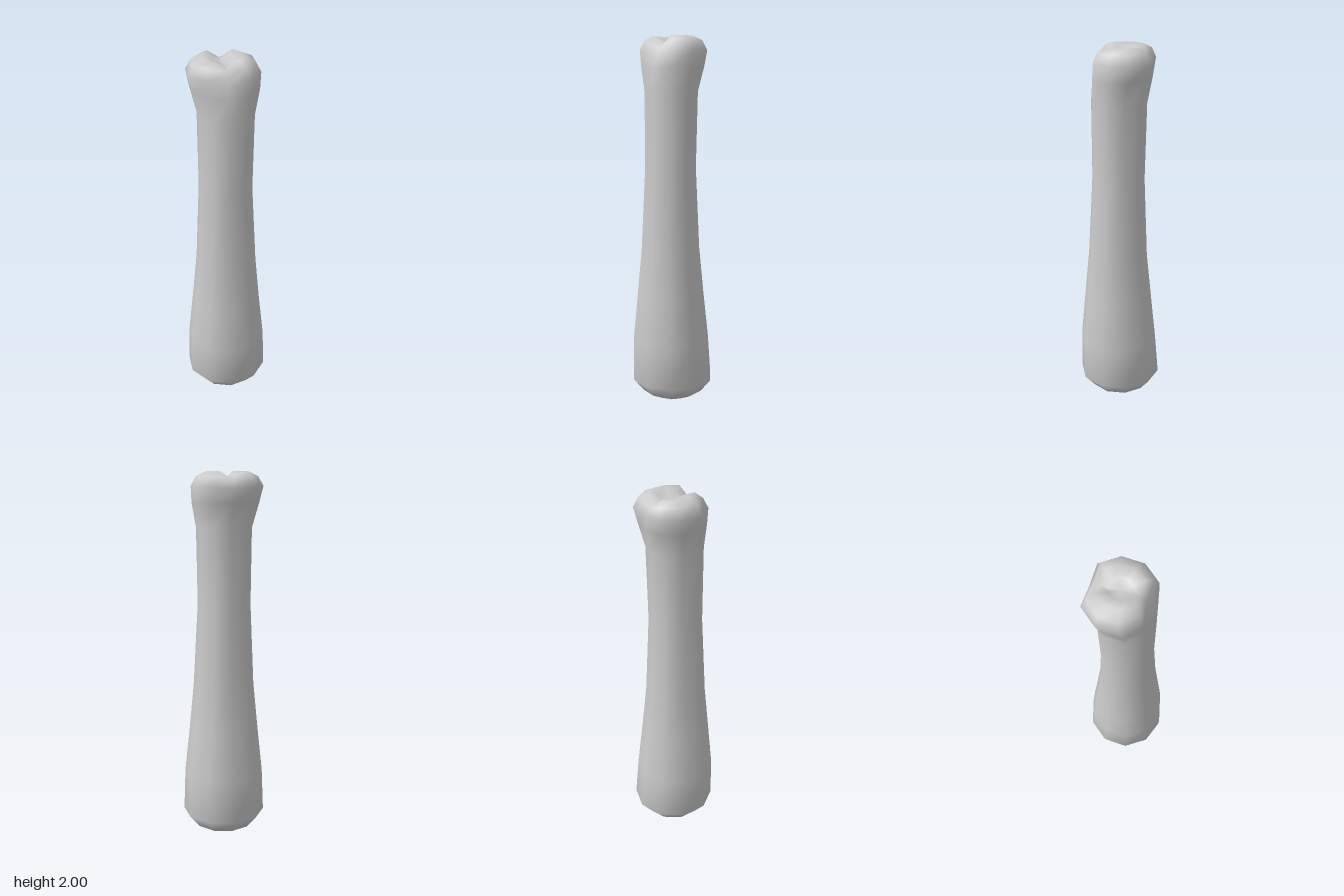
import * as THREE from 'three';

const SIDES = 10;

// Rings: y, radius x, radius z, centre x, centre z, front groove drop, back groove drop, inward pull
const RINGS = [
  // rounded base
  [0.012, 0.085, 0.085, 0, 0, 0, 0, 0],
  [0.05, 0.165, 0.165, 0, 0, 0, 0, 0],
  [0.12, 0.225, 0.224, 0, 0.001, 0, 0, 0],
  // tapering shaft
  [0.35, 0.217, 0.213, -0.002, 0.01, 0, 0, 0],
  [0.6, 0.19, 0.188, -0.003, 0.012, 0, 0, 0],
  [0.86, 0.165, 0.162, -0.003, 0.013, 0, 0, 0],
  [1.3, 0.143, 0.141, -0.005, 0.01, 0, 0, 0],
  [1.71, 0.148, 0.146, -0.003, 0.006, 0, 0, 0],
  // flared knuckle head with two lobes
  [1.84, 0.178, 0.168, -0.006, -0.01, 0.01, 0, 0.08],
  [1.925, 0.19, 0.18, -0.011, -0.023, 0.04, 0.01, 0.2],
  [1.975, 0.162, 0.155, -0.011, -0.023, 0.045, 0.025, 0.2],
  [2.0, 0.108, 0.115, -0.011, -0.02, 0.048, 0.04, 0.2],
  [1.985, 0.055, 0.06, -0.011, -0.02, 0.025, 0.025, 0],
];

function boneGeometry() {
  const pos = [], index = [];
  for (const [y, rx, rz, cx, cz, front, back, pull] of RINGS) {
    for (let k = 0; k < SIDES; k++) {
      const a = (k / SIDES) * Math.PI * 2;
      const isFront = k === 0, isBack = k === SIDES / 2;
      const drop = isFront ? front : isBack ? back : 0;
      const s = isFront || isBack ? 1 - pull : 1;
      pos.push(cx + Math.sin(a) * rx, y - drop, cz + Math.cos(a) * rz * s);
    }
  }
  // walls between rings
  for (let r = 0; r < RINGS.length - 1; r++) {
    for (let k = 0; k < SIDES; k++) {
      const a = r * SIDES + k, b = r * SIDES + (k + 1) % SIDES;
      index.push(a, b, b + SIDES, a, b + SIDES, a + SIDES);
    }
  }
  // closing points at the base and in the saddle between the lobes
  const base = pos.length / 3, saddle = base + 1, last = (RINGS.length - 1) * SIDES;
  pos.push(0, 0, 0, -0.011, 1.96, -0.02);
  for (let k = 0; k < SIDES; k++) {
    const n = (k + 1) % SIDES;
    index.push(base, n, k, saddle, last + k, last + n);
  }
  const geo = new THREE.BufferGeometry();
  geo.setAttribute('position', new THREE.Float32BufferAttribute(pos, 3));
  geo.setIndex(index);
  geo.computeVertexNormals();
  return geo;
}

export function createModel() {
  const group = new THREE.Group();
  group.name = 'boneClub';
  const bone = new THREE.Mesh(boneGeometry(), new THREE.MeshStandardMaterial({ color: 0xcccccc }));
  bone.name = 'bone';
  group.add(bone);
  return group;
}
